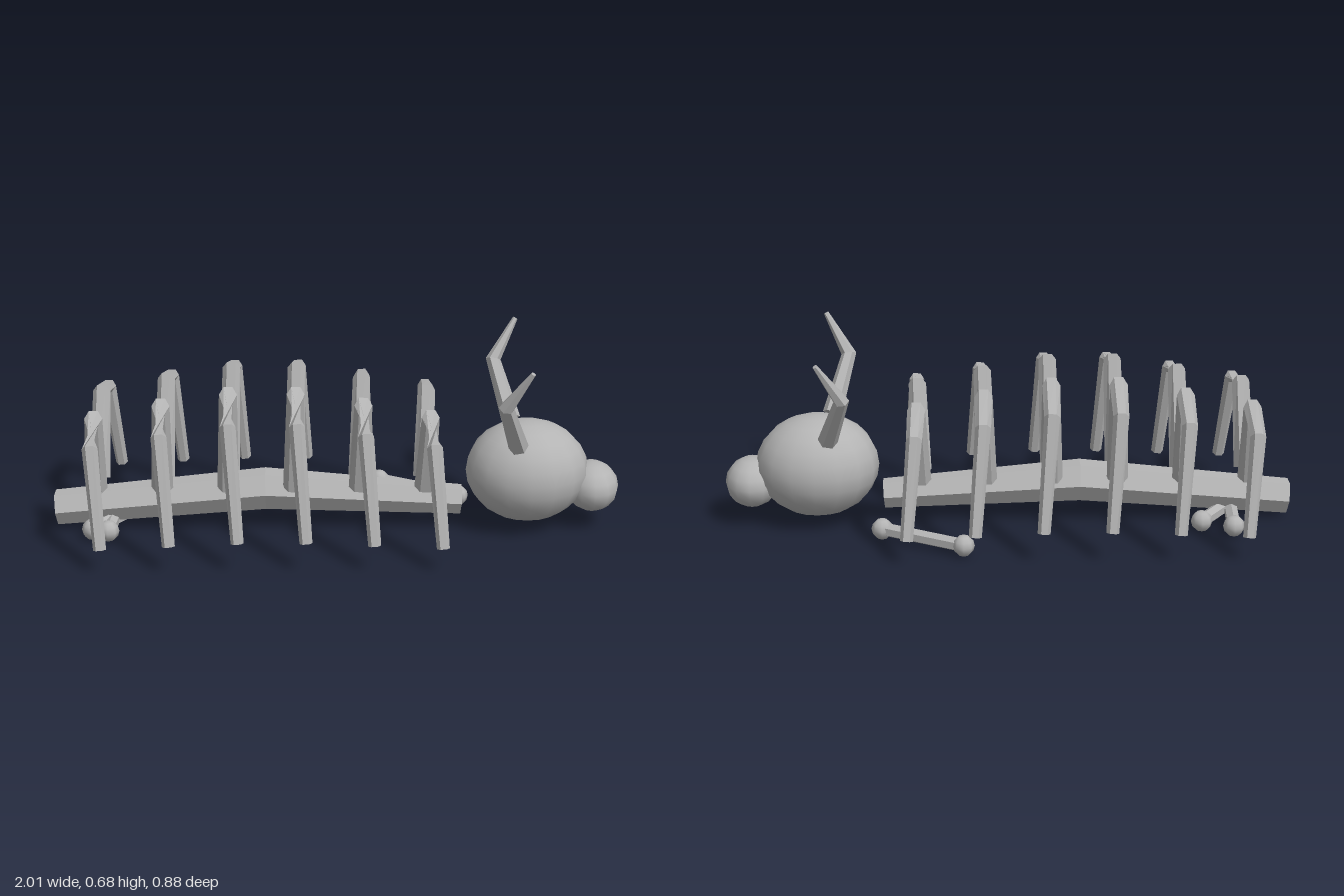
import * as THREE from 'three';

const V = (x, y, z) => new THREE.Vector3(x, y, z);

// Faceted tapered tube through points, with closed ends; ref sets where the first corner points.
function taperedTube(points, radii, ref, sides = 6, twists = []) {
  const n = points.length;
  const rings = points.map((p, i) => {
    const t = V(0, 0, 0);
    if (i > 0) t.add(p.clone().sub(points[i - 1]).normalize());
    if (i < n - 1) t.add(points[i + 1].clone().sub(p).normalize());
    t.normalize();
    const u = ref.clone().addScaledVector(t, -ref.dot(t)).normalize();
    const v = t.clone().cross(u);
    const ring = [];
    for (let j = 0; j < sides; j++) {
      const a = (j / sides) * Math.PI * 2 + (twists[i] || 0);
      ring.push(p.clone()
        .addScaledVector(u, Math.cos(a) * radii[i])
        .addScaledVector(v, Math.sin(a) * radii[i]));
    }
    return ring;
  });
  const tris = [];
  for (let j = 0; j < sides; j++) {
    const k = (j + 1) % sides;
    for (let i = 0; i < n - 1; i++) {
      const [a, b, c, d] = [rings[i][j], rings[i][k], rings[i + 1][k], rings[i + 1][j]];
      tris.push(a, b, c, a, c, d);
    }
    tris.push(points[0], rings[0][k], rings[0][j]);
    tris.push(points[n - 1], rings[n - 1][j], rings[n - 1][k]);
  }
  const geo = new THREE.BufferGeometry().setFromPoints(tris);
  geo.computeVertexNormals();
  return geo;
}

export function createModel() {
  const model = new THREE.Group();
  model.name = 'skeleton';
  const bone = new THREE.MeshStandardMaterial({ color: 0xb4b4b4 });
  bone.name = 'bone grey';

  const add = (name, geo, parent = model) => {
    const mesh = new THREE.Mesh(geo, bone);
    mesh.name = name;
    parent.add(mesh);
    return mesh;
  };
  const ball = (name, pos, scale, w, h, parent) => {
    const mesh = add(name, new THREE.SphereGeometry(1, w, h), parent);
    mesh.position.copy(pos);
    mesh.scale.copy(scale);
    return mesh;
  };

  // Arched spine
  add('spine', taperedTube(
    [V(-1, 0.074, 0), V(-0.255, 0.143, 0), V(0.44, 0.099, 0)],
    [0.063, 0.075, 0.053], V(0, 0, 1)));

  // Six pairs of bent ribs, tallest in the middle
  const drop = [0.085, 0.04, 0, 0, 0.04, 0.085];
  drop.forEach((d, i) => {
    const x = -0.84 + i * 0.2318;
    for (const s of [1, -1]) {
      const path = [
        V(x - 0.01, 0.167, s * 0.05),
        V(x, 0.545 - d, s * 0.15),
        V(x + 0.005, 0.493 - d * 0.9, s * 0.333),
        V(x + 0.034, 0.107 - d * 0.25, s * 0.42),
      ];
      // the near row turns over between its two joints
      const turn = s > 0 ? Math.PI * 2 / 3 : 0;
      add(s > 0 ? 'leftRib' : 'rightRib',
        taperedTube(path, [0.038, 0.031, 0.027, 0.022], V(1, 0, 0), 6, [0, 0, turn, turn]));
    }
  });

  // Skull and snout
  ball('skull', V(0.672, 0.212, 0), V(0.217, 0.183, 0.193), 16, 12);
  ball('snout', V(0.905, 0.15, 0), V(0.095, 0.089, 0.115), 12, 8);

  // Bent horns
  for (const s of [1, -1]) {
    add(s > 0 ? 'leftHorn' : 'rightHorn', taperedTube(
      [V(0.625, 0.35, s * 0.147), V(0.567, 0.535, s * 0.273), V(0.648, 0.674, s * 0.325)],
      [0.035, 0.027, 0.009], V(1, 0, 0)));
  }

  // Loose bones lying on the ground: a shaft with a knob at each end
  const looseBones = [
    [V(0.16, 0.038, -0.348), V(0.442, 0.038, -0.188)],
    [V(-0.785, 0.038, -0.195), V(-0.805, 0.038, 0.137)],
    [V(-0.678, 0.038, -0.145), V(-0.862, 0.038, 0.122)],
  ];
  for (const [a, b] of looseBones) {
    const group = new THREE.Group();
    group.name = 'looseBone';
    model.add(group);
    add('boneShaft', taperedTube([a, b], [0.025, 0.025], V(0, 1, 0)), group);
    for (const p of [a, b]) ball('boneKnob', p, V(0.038, 0.038, 0.038), 8, 6, group);
  }

  return model;
}
